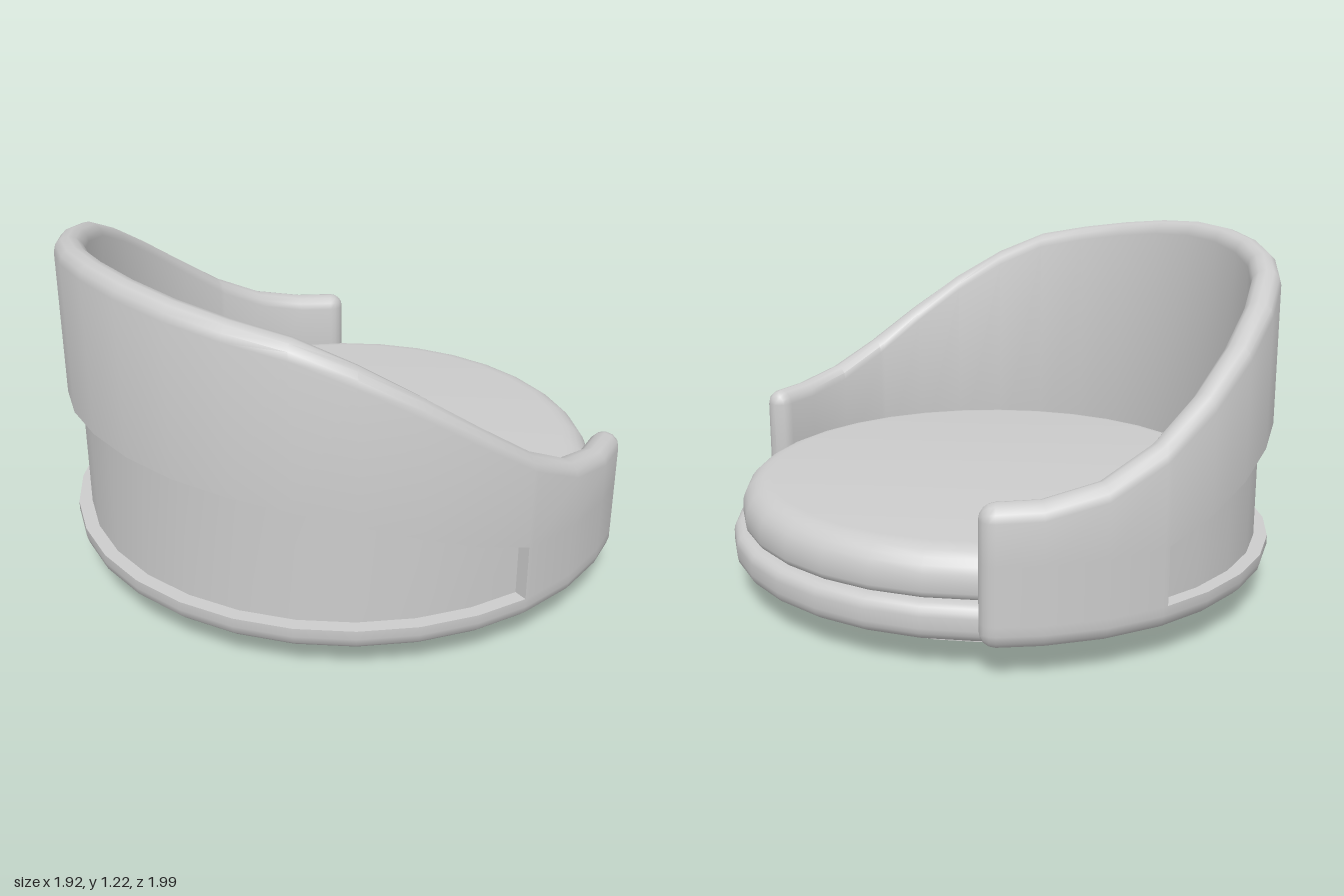
import * as THREE from 'three';
import { toCreasedNormals } from 'three/addons/utils/BufferGeometryUtils.js';

const CX = 0.03;            // axis of the round seat
const STEP = 11.25;         // 32 sides
const MID = 0.945;          // centre radius of the wrap-around shell
const HALF = 0.05;          // half thickness of the shell
const CREASE = 0.65;

// heights every STEP degrees, from the arm tip (56.25) and recess edge (90) to the back (180)
const RIM = [0.555, 0.56, 0.6, 0.69, 0.815, 0.94, 1.047, 1.125, 1.16, 1.187, 1.207, 1.215];
const RECESS = [0.375, 0.435, 0.5, 0.56, 0.597, 0.617, 0.63, 0.64, 0.645];

function sample(table, start, deg) {
  const a = deg > 180 ? 360 - deg : deg;
  const f = THREE.MathUtils.clamp((a - start) / STEP, 0, table.length - 1);
  const i = Math.min(Math.floor(f), table.length - 2);
  return THREE.MathUtils.lerp(table[i], table[i + 1], f - i);
}

// closed (radius, height) section of the shell, counter-clockwise
function shellSection(deg, h, recessed) {
  const top = sample(RIM, 56.25, deg) - HALF;
  const lip = sample(RECESS, 90, deg);
  const bottom = 0.11 + HALF;
  const outer = MID + h;
  const cut = recessed ? MID + 0.003 : outer;
  const pts = [];
  for (let k = 0; k <= 6; k++) {
    const a = Math.PI + (k * Math.PI) / 6;
    pts.push([MID + h * Math.cos(a), bottom + h * Math.sin(a)]);
  }
  pts.push([outer, 0.19], [cut, 0.19], [cut, lip], [outer, lip]);
  for (let k = 0; k <= 6; k++) {
    const a = (k * Math.PI) / 6;
    pts.push([MID + h * Math.cos(a), top + h * Math.sin(a)]);
  }
  return pts;
}

function shellGeometry() {
  // half of the stations: rounded arm tip, arm, recess edge, back
  const half = [];
  const capAngle = THREE.MathUtils.radToDeg(HALF / MID);
  for (let k = 0; k <= 4; k++) {
    const a = (k * Math.PI) / 8;
    half.push([56.25 + capAngle * (1 - Math.sin(a)), HALF * Math.sin(a), false]);
    half[k][0] = 56.25 + capAngle * (1 - Math.cos(a));
  }
  for (const d of [67.5, 78.75, 90, 91]) half.push([d, HALF, false]);
  for (const d of [91, 101.25, 112.5, 123.75, 135, 146.25, 157.5, 168.75]) half.push([d, HALF, true]);
  const mirrored = half.map(([d, h, r]) => [360 - d, h, r]).reverse();
  const stations = [...half, [180, HALF, true], ...mirrored];

  const positions = [], index = [];
  let n = 0;
  stations.forEach(([deg, h, recessed], i) => {
    const pts = shellSection(deg, h, recessed);
    const t = THREE.MathUtils.degToRad(deg);
    n = pts.length;
    for (const [r, y] of pts) positions.push(r * Math.cos(t), y, r * Math.sin(t));
    if (i === stations.length - 1) return;
    for (let j = 0; j < n; j++) {
      const a = i * n + j, b = i * n + ((j + 1) % n);
      index.push(a, b, a + n, b, b + n, a + n);
    }
  });
  const g = new THREE.BufferGeometry();
  g.setAttribute('position', new THREE.Float32BufferAttribute(positions, 3));
  g.setIndex(index);
  return toCreasedNormals(g, CREASE);
}

// rounded profile corner, angles in degrees
function arc(cx, cy, r, from, to, steps = 4) {
  return Array.from({ length: steps + 1 }, (_, k) => {
    const a = THREE.MathUtils.degToRad(from + ((to - from) * k) / steps);
    return [cx + r * Math.cos(a), cy + r * Math.sin(a)];
  });
}

function lathe(points) {
  const g = new THREE.LatheGeometry(points.map(([x, y]) => new THREE.Vector2(x, y)), 32);
  return toCreasedNormals(g, CREASE);
}

export function createModel() {
  const group = new THREE.Group();
  const material = new THREE.MeshStandardMaterial({ color: 0xcccccc });
  const add = (name, geometry) => {
    const mesh = new THREE.Mesh(geometry, material);
    mesh.name = name;
    mesh.position.x = CX;
    group.add(mesh);
  };

  // wrap-around back and arms with a recessed panel outside
  add('backShell', shellGeometry());

  // conical foot and two support rings under the seat
  add('footAndRings', lathe([
    [0, 0], [0.25, 0], [0.34, 0.1], [0.385, 0.1], [0.385, 0.03], [0.43, 0.03], [0.43, 0.1],
    [0.7, 0.1], [0.7, 0.03], [0.75, 0.03], [0.75, 0.11],
  ]));

  // lower seat disc
  add('seatBase', lathe([
    [0, 0.102], ...arc(0.885, 0.147, 0.045, -90, 0), ...arc(0.89, 0.185, 0.04, 0, 90), [0, 0.225],
  ]));

  // cushion with a softly rounded top edge
  add('seatCushion', lathe([
    [0, 0.22], ...arc(0.87, 0.25, 0.025, -90, 0, 3), ...arc(0.795, 0.28, 0.1, 0, 90, 6), [0, 0.38],
  ]));

  return group;
}
